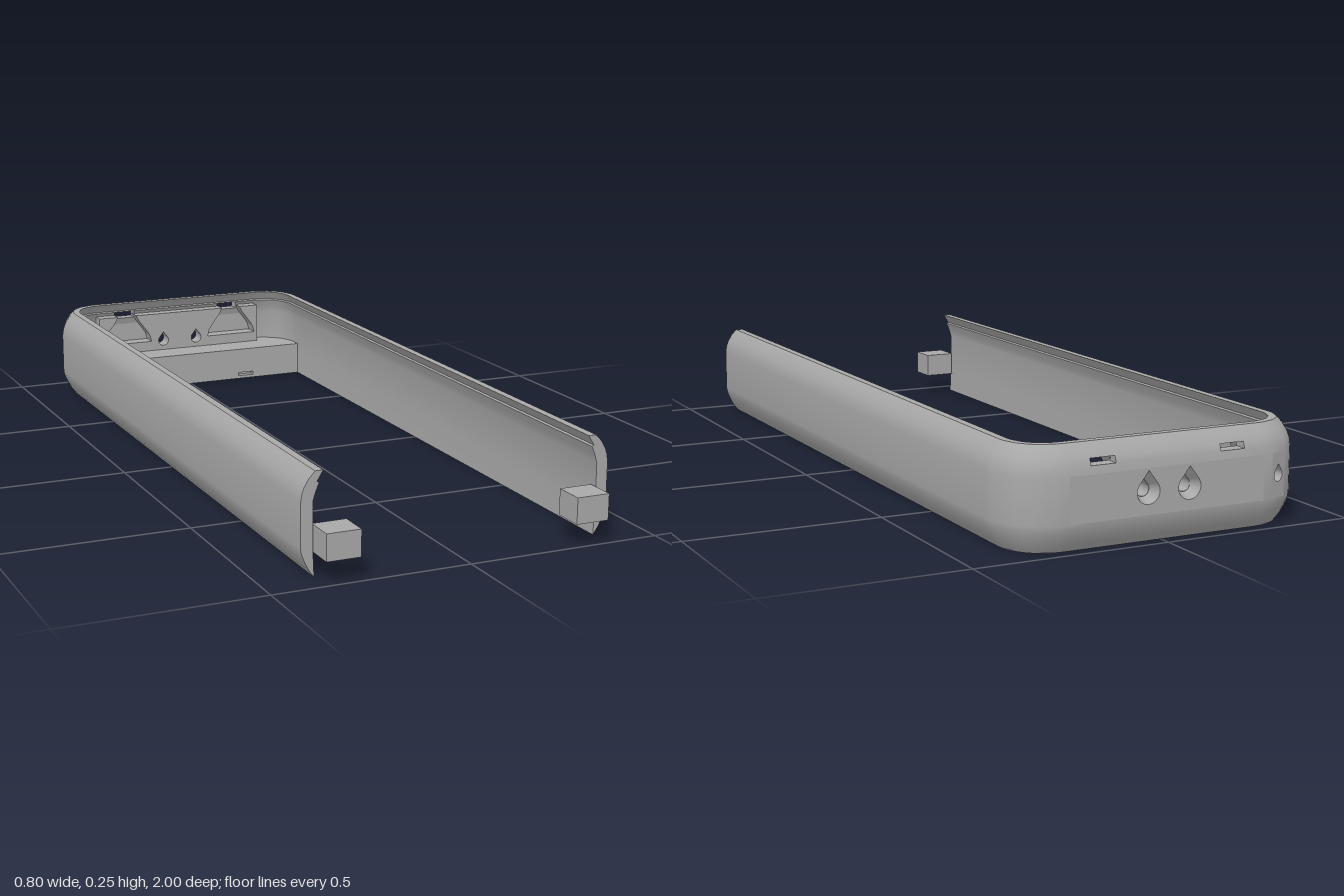
import * as THREE from 'three';
import { toCreasedNormals } from 'three/addons/utils/BufferGeometryUtils.js';

const grey = new THREE.MeshStandardMaterial({ color: 0xa8a8a8, side: THREE.DoubleSide });
grey.name = 'grey plastic';

// Wall section, outer side up then inner side down: [inset from outline, height]
const section = [
  [0.033, 0], [0.02, 0.018], [0.009, 0.04], [0.002, 0.058], [0, 0.07], [0, 0.18],
  [0.003, 0.2], [0.009, 0.216], [0.02, 0.234], [0.035, 0.25],
  [0.055, 0.25], [0.04, 0.225], [0.045, 0.222], [0.036, 0.2], [0.03, 0.18], [0.03, 0.07],
];
const OUTER_PANEL = 4, INNER_PANEL = 14, OUTER_SLOT = 6, INNER_SLOT = 12;
const WALL = 0.03, R = 0.14, CX = 0.26, CZ = -0.86;

// U-shaped outline: down the right arm, round the back, up the left arm
function outline() {
  const angles = [0, 10, 30, 37, 45, 53, 60, 80, 90];
  const corner = (side, deg) => {
    const a = THREE.MathUtils.degToRad(deg), c = Math.cos(a), s = Math.sin(a);
    return { x: side * (CX + R * c), z: CZ - R * s, nx: -side * c, nz: s, deg, side };
  };
  const back = [-0.205, -0.14, 0.14, 0.205].map((x) => ({ x, z: -1, nx: 0, nz: 1 }));
  return [
    { x: -0.4, z: 0.935, nx: 1, nz: 0 },
    ...angles.map((d) => corner(-1, d)),
    ...back,
    ...angles.slice().reverse().map((d) => corner(1, d)),
    { x: 0.4, z: 0.935, nx: -1, nz: 0 },
  ];
}

function add(group, name, geometry, x = 0, y = 0, z = 0) {
  const mesh = new THREE.Mesh(geometry, grey);
  mesh.name = name;
  mesh.position.set(x, y, z);
  group.add(mesh);
  return mesh;
}

function extrude(shape, depth) {
  return new THREE.ExtrudeGeometry(shape, { depth, bevelEnabled: false, curveSegments: 12 });
}

function polygon(points) {
  return new THREE.Shape(points.map(([x, y]) => new THREE.Vector2(x, y)));
}

function rect(x0, y0, x1, y1) {
  return polygon([[x0, y0], [x1, y0], [x1, y1], [x0, y1]]);
}

function teardrop(x, y, r) {
  const p = new THREE.Path();
  p.absarc(x, y, r, 0.65, Math.PI - 0.65, true);
  p.lineTo(x, y + r * 1.65);
  p.closePath();
  return p;
}

// Swept shell, leaving room for the drilled panels and cutting the slots
function shellGeometry(path) {
  const n = section.length, pos = [];
  const at = (i, k) => {
    const p = path[i], [d, y] = section[k % n];
    return [p.x + p.nx * d, y, p.z + p.nz * d];
  };
  const quad = (a, b, c, d) => pos.push(...a, ...b, ...c, ...a, ...c, ...d);
  for (let i = 0; i < path.length - 1; i++) {
    const p = path[i], q = path[i + 1];
    const isBack = p.z < -0.999 && q.z < -0.999;
    const isDrilled = p.side === -1 && (p.deg === 10 || p.deg === 60);
    const isSlot = isBack && Math.abs(Math.abs((p.x + q.x) / 2) - 0.1725) < 0.01;
    for (let k = 0; k < n; k++) {
      if ((isBack || isDrilled) && (k === OUTER_PANEL || k === INNER_PANEL)) continue;
      if (isSlot && (k === OUTER_SLOT || k === INNER_SLOT)) continue;
      quad(at(i, k), at(i, k + 1), at(i + 1, k + 1), at(i + 1, k));
    }
    if (isSlot) { // slot lining
      const o = OUTER_SLOT, m = INNER_SLOT;
      quad(at(i, o), at(i, m + 1), at(i + 1, m + 1), at(i + 1, o));
      quad(at(i, o + 1), at(i + 1, o + 1), at(i + 1, m), at(i, m));
      for (const j of [i, i + 1]) quad(at(j, o), at(j, o + 1), at(j, m), at(j, m + 1));
    }
  }
  // Arm ends
  const contour = section.map(([d, y]) => new THREE.Vector2(d, y));
  const faces = THREE.ShapeUtils.triangulateShape(contour, []);
  for (const i of [0, path.length - 1])
    for (const f of faces) for (const k of f) pos.push(...at(i, k));
  const g = new THREE.BufferGeometry();
  g.setAttribute('position', new THREE.Float32BufferAttribute(pos, 3));
  return toCreasedNormals(g, 0.55);
}

// Flat wall panel between two outline points, with holes narrowing inwards
function drilledPanel(group, name, p, q, holes, taper) {
  const t = new THREE.Vector3(q.x - p.x, 0, q.z - p.z), len = t.length();
  t.normalize();
  const up = new THREE.Vector3(0, 1, 0);
  const shape = rect(0, 0.07, len, 0.18);
  for (const [x, y, r] of holes) shape.holes.push(teardrop(x, y, r));
  const g = extrude(shape, WALL), a = g.attributes.position;
  for (let i = 0; i < a.count; i++) {
    if (a.getZ(i) < WALL / 2) continue;
    for (const [x, y, r] of holes) {
      const dx = a.getX(i) - x, dy = a.getY(i) - y;
      if (Math.hypot(dx, dy) < r * 1.7) a.setXY(i, x + dx * taper, y + dy * taper);
    }
  }
  g.applyMatrix4(new THREE.Matrix4().makeBasis(t, up, t.clone().cross(up)));
  g.computeVertexNormals();
  add(group, name, g, p.x, 0, p.z);
}

export function createModel() {
  const model = new THREE.Group();
  model.name = 'bumperFrame';
  const path = outline();
  add(model, 'shell', shellGeometry(path));

  // Back wall with two sound holes, and one corner with two smaller ones
  drilledPanel(model, 'backPanel', { x: -CX, z: -1 }, { x: CX, z: -1 },
    [[CX - 0.055, 0.125, 0.03], [CX + 0.055, 0.125, 0.03]], 0.55);
  for (const deg of [10, 60]) {
    const i = path.findIndex((p) => p.side === -1 && p.deg === deg);
    drilledPanel(model, 'cornerPanel', path[i], path[i + 1], [[0.0243, 0.125, 0.016]], 0.8);
  }

  // Inner plate with bell-shaped notches below the slots
  const bell = [[-0.255, 0.125], [-0.25, 0.145], [-0.238, 0.163], [-0.215, 0.193], [-0.205, 0.212]];
  const rightNotch = [...bell.slice().reverse(),
    ...bell.map(([x, y]) => [-0.35 - x, y])];
  const leftNotch = rightNotch.map(([x, y]) => [-x, y]).reverse();
  const plate = polygon([[-0.265, 0.09], [-0.265, 0.212], ...rightNotch, ...leftNotch,
    [0.265, 0.212], [0.265, 0.09]]);
  for (const x of [-0.055, 0.055]) plate.holes.push(teardrop(x, 0.125, 0.0165));
  add(model, 'innerPlate', extrude(plate, 0.047), 0, 0, -0.972);

  // Floor ledge with rounded back corners
  const floor = new THREE.Shape();
  floor.moveTo(-0.367, 0.85);
  floor.lineTo(-0.367, 0.86);
  floor.absarc(-CX, 0.86, 0.107, Math.PI, Math.PI / 2, true);
  floor.absarc(CX, 0.86, 0.107, Math.PI / 2, 0, true);
  floor.lineTo(0.367, 0.85);
  add(model, 'floorLedge', extrude(floor, 0.095).rotateX(-Math.PI / 2));

  // Ledge front with two shallow slots
  const front = rect(-0.367, 0, 0.367, 0.095);
  for (const x of [-0.19, 0.187]) front.holes.push(rect(x - 0.025, 0.009, x + 0.025, 0.019));
  add(model, 'ledgeFront', extrude(front, 0.02), 0, 0, -0.85);

  // Corner post
  add(model, 'cornerPost', new THREE.BoxGeometry(0.095, 0.095, 0.09), -0.3225, 0.1425, -0.9);

  // Blocks at the arm ends, each with a blind hole underneath
  for (const s of [-1, 1]) {
    const block = new THREE.Group();
    block.name = s < 0 ? 'rightEndBlock' : 'leftEndBlock';
    block.position.set(s * 0.323, 0.057, 0.96);
    const base = rect(-0.043, -0.04, 0.043, 0.04);
    const hole = new THREE.Path();
    hole.absarc(0, 0, 0.012, 0, Math.PI * 2, true);
    base.holes.push(hole);
    add(block, 'blockBody', extrude(base, 0.05).rotateX(-Math.PI / 2));
    add(block, 'blockTop', new THREE.BoxGeometry(0.086, 0.016, 0.08), 0, 0.058, 0);
    model.add(block);
  }
  return model;
}
